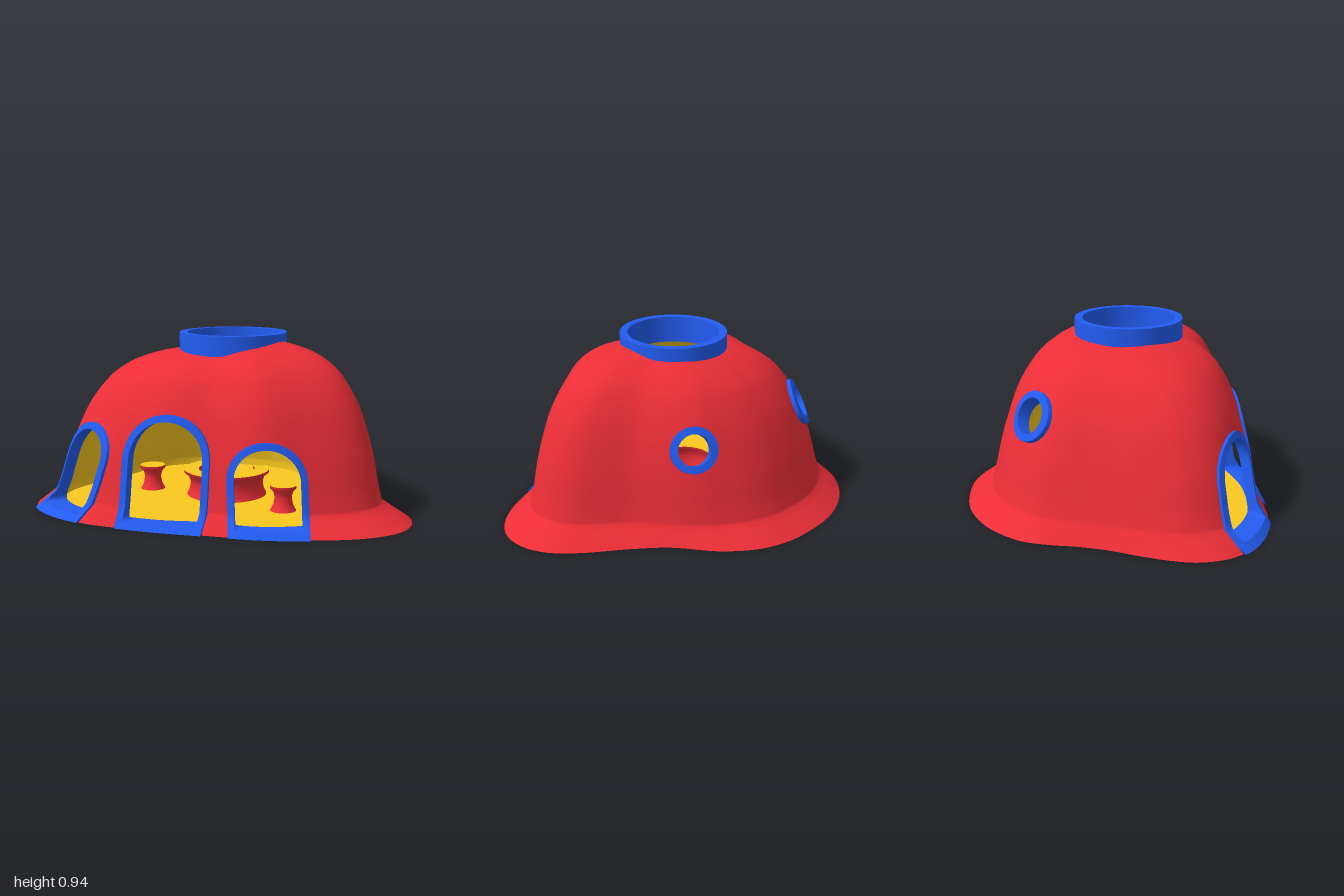
import * as THREE from 'three';

const mat = (color) => new THREE.MeshStandardMaterial({ color, side: THREE.DoubleSide });
const RED = mat(0xec2e37), BLUE = mat(0x225cf2), YELLOW = mat(0xfbc81e);
const CX = -0.018, CZ = 0.05, SKIRT = 0.09, WALL = 0.03, DROP = 0.025, FLOOR = 0.03;
const lerp = THREE.MathUtils.lerp;

// Irregular ground outline (x, z)
const outline = [
  [-0.2, -0.8], [-0.08, -0.8], [0.08, -0.76], [0.25, -0.65], [0.43, -0.45], [0.58, -0.34], [0.82, -0.19],
  [0.94, -0.08], [1, 0.05], [1, 0.19], [0.94, 0.31], [0.83, 0.42], [0.65, 0.53], [0.42, 0.63], [0.13, 0.7],
  [-0.1, 0.75], [-0.32, 0.78], [-0.5, 0.79], [-0.7, 0.75], [-0.85, 0.68], [-0.95, 0.58], [-1, 0.43],
  [-0.99, 0.3], [-0.95, 0.15], [-0.9, 0], [-0.87, -0.15], [-0.86, -0.28], [-0.83, -0.42], [-0.77, -0.52],
  [-0.68, -0.62], [-0.55, -0.71], [-0.4, -0.77]];
const polar = new THREE.CatmullRomCurve3(outline.map(([x, z]) => new THREE.Vector3(x, 0, z)), true)
  .getPoints(600).map((p) => [Math.atan2(p.z - CZ, p.x - CX), Math.hypot(p.x - CX, p.z - CZ)])
  .sort((a, b) => a[0] - b[0]);

// Dome profile: share of the body radius against height
const profile = new THREE.SplineCurve([
  [1, 0.09], [0.965, 0.18], [0.935, 0.28], [0.895, 0.39], [0.81, 0.57], [0.7, 0.71], [0.6, 0.785],
  [0.48, 0.835], [0.33, 0.868], [0.18, 0.885], [0.02, 0.89]].map(([s, y]) => new THREE.Vector2(s, y)));
const heights = profile.getPoints(240).map((p) => [p.y, p.x]);

// Linear lookup in a sorted table
function lookup(table, x) {
  let lo = 0, hi = table.length - 1;
  if (x <= table[0][0]) return table[0][1];
  if (x >= table[hi][0]) return table[hi][1];
  while (hi - lo > 1) {
    const mid = (lo + hi) >> 1;
    if (table[mid][0] <= x) lo = mid; else hi = mid;
  }
  const [a, b] = [table[lo], table[hi]];
  return lerp(a[1], b[1], (x - a[0]) / (b[0] - a[0] || 1));
}

// Sum of smooth bumps round the dome: angle in degrees, amount, width in radians
const bumps = (list) => (t) => list.reduce((sum, [deg, amount, width]) => {
  const d = t - THREE.MathUtils.degToRad(deg);
  return sum + amount * Math.exp(-((Math.atan2(Math.sin(d), Math.cos(d)) / width) ** 2));
}, 0);
const swelling = bumps([[-50, 0.1, 0.45], [50, 0.055, 0.4], [100, 0.03, 0.35], [150, -0.04, 0.35],
  [10, -0.015, 0.5], [-97, 0.015, 0.35], [-172, 0.035, 0.35]]);
const fullness = bumps([[5, 0.25, 0.5], [52, 0.6, 0.4], [98, 0.35, 0.4], [-55, 0.5, 0.45]]);
const baseR = (t) => lookup(polar, t);
const bodyR = (t) => baseR(t) - 0.12 + 0.03 * Math.sin(t) - 0.03 * Math.cos(t) + swelling(t);
const rise = (t) => 1 + 0.03 * Math.cos(t) - 0.025 * Math.max(0, Math.sin(t)) ** 2;
const wallR = (t, share) => bodyR(t) * (share + fullness(t) * share * share * (1 - share));

function outerR(t, y) {
  if (y < SKIRT) return lerp(baseR(t), bodyR(t), Math.max(0, y) / SKIRT);
  const p = SKIRT + (y - SKIRT) / rise(t);
  return p > 0.89 ? -1 : wallR(t, lookup(heights, p));
}
const innerR = (t, y) => outerR(t, Math.max(SKIRT, y + DROP)) - WALL;

// An opening: a flat shape projected along W onto the dome, sideways lean optional
function opening(name, x, y, z, angle, tilt, hw, straight, border, lean = 0) {
  const c = Math.cos(tilt);
  const W = new THREE.Vector3(Math.sin(angle) * c, Math.sin(tilt), Math.cos(angle) * c);
  const U = new THREE.Vector3(Math.cos(angle), 0, -Math.sin(angle));
  const V = new THREE.Vector3().crossVectors(W, U);
  return { name, O: new THREE.Vector3(x, y, z), U, V, W, hw, straight, border, lean };
}
const facing = (x, z) => Math.atan2(x, z);
const openings = [
  opening('middleDoorFrame', -0.092, 0, 0.68, facing(0.08, 1), 0, 0.227, 0.338, 0.035),
  opening('rightDoorFrame', -0.66, 0, 0.63, facing(-0.55, 0.83), 0, 0.195, 0.29, 0.035, 0.13),
  opening('leftDoorFrame', 0.45, 0, 0.585, facing(0.42, 0.9), 0, 0.2, 0.255, 0.035, -0.04),
  opening('leftPorthole', 0.275, 0.505, -0.465, facing(0.5, -0.87), 0.4, 0.12, null, 0.038),
  opening('rightPorthole', -0.53, 0.54, -0.41, facing(-0.5, -0.87), 0.5, 0.13, null, 0.038)];

// Negative inside the opening
function holeDistance(o, p) {
  const d = p.clone().sub(o.O);
  if (d.dot(o.W) < -0.35) return 1;
  const v = d.dot(o.V), u = d.dot(o.U) - o.lean * v, r = o.hw - o.border * 0.5;
  if (o.straight === null) return Math.hypot(u, v) - r;
  return Math.max(v < o.straight ? Math.abs(u) - r : Math.hypot(u, v - o.straight) - r, 0.02 - v);
}
const holes = openings.map((o) => (p) => holeDistance(o, p));
holes.push((p) => (p.y < 0.6 ? 1 : Math.hypot(p.x - CX, p.z - CZ) - 0.265));

// Keep the part of every triangle that lies outside all holes
function cutHoles(geometry) {
  const g = geometry.toNonIndexed(), P = g.attributes.position, N = g.attributes.normal;
  const pos = [], nor = [];
  for (let i = 0; i < P.count; i += 3) {
    let poly = [0, 1, 2].map((k) => ({
      p: new THREE.Vector3().fromBufferAttribute(P, i + k), n: new THREE.Vector3().fromBufferAttribute(N, i + k) }));
    for (const hole of holes) {
      const d = poly.map((v) => hole(v.p));
      if (d.every((e) => e > 0)) continue;
      const kept = [];
      poly.forEach((a, k) => {
        const j = (k + 1) % poly.length, b = poly[j];
        if (d[k] > 0) kept.push(a);
        if (d[k] > 0 !== d[j] > 0) {
          const f = d[k] / (d[k] - d[j]);
          kept.push({ p: a.p.clone().lerp(b.p, f), n: a.n.clone().lerp(b.n, f) });
        }
      });
      poly = kept;
    }
    for (let k = 1; k + 1 < poly.length; k++) {
      for (const v of [poly[0], poly[k], poly[k + 1]]) { pos.push(...v.p.toArray()); nor.push(...v.n.toArray()); }
    }
  }
  return new THREE.BufferGeometry()
    .setAttribute('position', new THREE.Float32BufferAttribute(pos, 3))
    .setAttribute('normal', new THREE.Float32BufferAttribute(nor, 3));
}

// Quads between successive closed loops; shared vertices shade smoothly
function loft(loops, flip = false) {
  const n = loops[0].length, index = [];
  for (let j = 0; j + 1 < loops.length; j++) for (let i = 0; i < n; i++) {
    const a = j * n + i, b = j * n + (i + 1) % n, c = b + n, d = a + n;
    index.push(...(flip ? [a, d, c, a, c, b] : [a, b, c, a, c, d]));
  }
  const g = new THREE.BufferGeometry().setFromPoints(loops.flat());
  g.setIndex(index);
  g.computeVertexNormals();
  return g;
}

const STEPS = 160;
const thetas = Array.from({ length: STEPS }, (_, i) => -Math.PI + (i / STEPS) * Math.PI * 2);
const ringLoop = (radius, y) => thetas.map((t) =>
  new THREE.Vector3(CX + radius(t) * Math.cos(t), y(t), CZ + radius(t) * Math.sin(t)));

function shell(inner) {
  const loops = [];
  if (inner) loops.push(ringLoop((t) => bodyR(t) - WALL, () => FLOOR));
  else for (let k = 0; k < 4; k++) loops.push(ringLoop((t) => outerR(t, SKIRT * k / 4), () => SKIRT * k / 4));
  for (const p of profile.getPoints(44)) {
    loops.push(ringLoop((t) => Math.max(0.01, wallR(t, p.x) - (inner ? WALL : 0)),
      (t) => SKIRT + (p.y - SKIRT) * rise(t) - (inner ? DROP : 0)));
  }
  return cutHoles(loft(loops, !inner));
}

// Frame following the dome surface around an opening
function frame(o) {
  const loop2d = (inset) => {
    const r = o.hw - inset, pts = [], arc = (i) => [r * Math.cos(i * Math.PI / 20), r * Math.sin(i * Math.PI / 20)];
    if (o.straight === null) return Array.from({ length: 40 }, (_, i) => arc(i));
    for (let i = 0; i < 8; i++) pts.push([lerp(-r, r, i / 8), inset]);
    for (let i = 0; i < 10; i++) pts.push([r, lerp(inset, o.straight, i / 10)]);
    for (let i = 0; i < 20; i++) pts.push([arc(i)[0], o.straight + arc(i)[1]]);
    for (let i = 0; i < 10; i++) pts.push([-r, lerp(o.straight, inset, i / 10)]);
    return pts;
  };
  const project = (pts, radius, lift) => pts.map(([u, v]) => {
    const start = o.O.clone().addScaledVector(o.U, u + o.lean * v).addScaledVector(o.V, v);
    const at = (w) => start.clone().addScaledVector(o.W, w);
    const inside = (p) => Math.hypot(p.x - CX, p.z - CZ) < radius(Math.atan2(p.z - CZ, p.x - CX), p.y);
    let w = 0.4;
    while (w > -0.35 && !inside(at(w))) w -= 0.01;
    let lo = w, hi = w + 0.01;
    for (let k = 0; k < 10; k++) { const m = (lo + hi) / 2; if (inside(at(m))) lo = m; else hi = m; }
    return at(lo + lift);
  });
  const out = loop2d(0), inn = loop2d(o.border), lift = o.straight === null ? 0.022 : 0.014;
  const a = project(out, outerR, -0.03), b = project(out, outerR, lift);
  const c = project(inn, outerR, lift), d = project(inn, innerR, -0.01);
  const group = new THREE.Group();
  for (const [p, q] of [[a, b], [b, c], [c, d]]) group.add(new THREE.Mesh(loft([p, q]), BLUE));
  return group;
}

const lathe = (pts, ...arc) => new THREE.LatheGeometry(pts.map(([r, y]) => new THREE.Vector2(r, y)), ...arc);

function createCounter() {
  const group = new THREE.Group(), start = -Math.PI * 0.75, sweep = Math.PI * 1.5;
  const outer = [[0.22, FLOOR], [0.205, 0.06], [0.2, 0.1], [0.21, 0.135], [0.235, 0.155], [0.235, 0.17]];
  const inner = [[0.155, 0.17], [0.155, 0.155], [0.175, 0.135], [0.18, 0.1], [0.175, 0.06], [0.165, FLOOR]];
  for (const side of [outer, inner]) group.add(new THREE.Mesh(lathe(side, 48, start, sweep), RED));
  const section = new THREE.Shape([...outer, ...inner].map(([r, y]) => new THREE.Vector2(r, y)));
  for (const phi of [start, start + sweep]) {
    group.add(new THREE.Mesh(new THREE.ShapeGeometry(section).rotateY(phi - Math.PI / 2), RED));
  }
  const top = new THREE.RingGeometry(0.155, 0.235, 48, 1, Math.PI * 0.75, sweep).rotateX(-Math.PI / 2);
  group.add(new THREE.Mesh(top.translate(0, 0.17, 0), YELLOW));
  group.position.set(-0.075, 0, 0.02);
  return group;
}

function createStool(x, z) {
  const group = new THREE.Group();
  group.add(new THREE.Mesh(lathe([[0.068, FLOOR], [0.052, 0.06], [0.045, 0.1], [0.052, 0.13], [0.07, 0.15], [0.07, 0.165]], 24), RED));
  group.add(new THREE.Mesh(new THREE.CircleGeometry(0.07, 24).rotateX(-Math.PI / 2).translate(0, 0.165, 0), YELLOW));
  group.position.set(x, 0, z);
  return group;
}

export function createModel() {
  const model = new THREE.Group();
  const add = (name, object) => { object.name = name; model.add(object); };
  add('domeOutside', new THREE.Mesh(shell(false), RED));
  add('domeInside', new THREE.Mesh(shell(true), YELLOW));

  // Underside and floor
  const disc = (radius, y) => new THREE.ShapeGeometry(new THREE.Shape(ringLoop(radius, () => 0)
    .map((p) => new THREE.Vector2(p.x, p.z)))).rotateX(Math.PI / 2).translate(0, y, 0);
  add('underside', new THREE.Mesh(disc(baseR, 0), RED));
  const floor = disc((t) => bodyR(t) - WALL, FLOOR);
  floor.index.array.reverse();
  floor.attributes.normal.array.forEach((v, i, arr) => { arr[i] = -v; });
  add('floor', new THREE.Mesh(floor, YELLOW));

  for (const o of openings) add(o.name, frame(o));

  // Collar round the roof opening
  const collar = new THREE.Group();
  for (const wall of [[[0.287, 0.79], [0.287, 0.935]], [[0.287, 0.935], [0.245, 0.935]], [[0.245, 0.935], [0.245, 0.79]]]) {
    collar.add(new THREE.Mesh(lathe(wall, 64), BLUE));
  }
  collar.position.set(CX, 0, CZ);
  add('roofCollar', collar);

  add('counter', createCounter());
  add('rightStool', createStool(-0.5, 0.11));
  add('leftStool', createStool(0.35, 0.2));
  return model;
}
